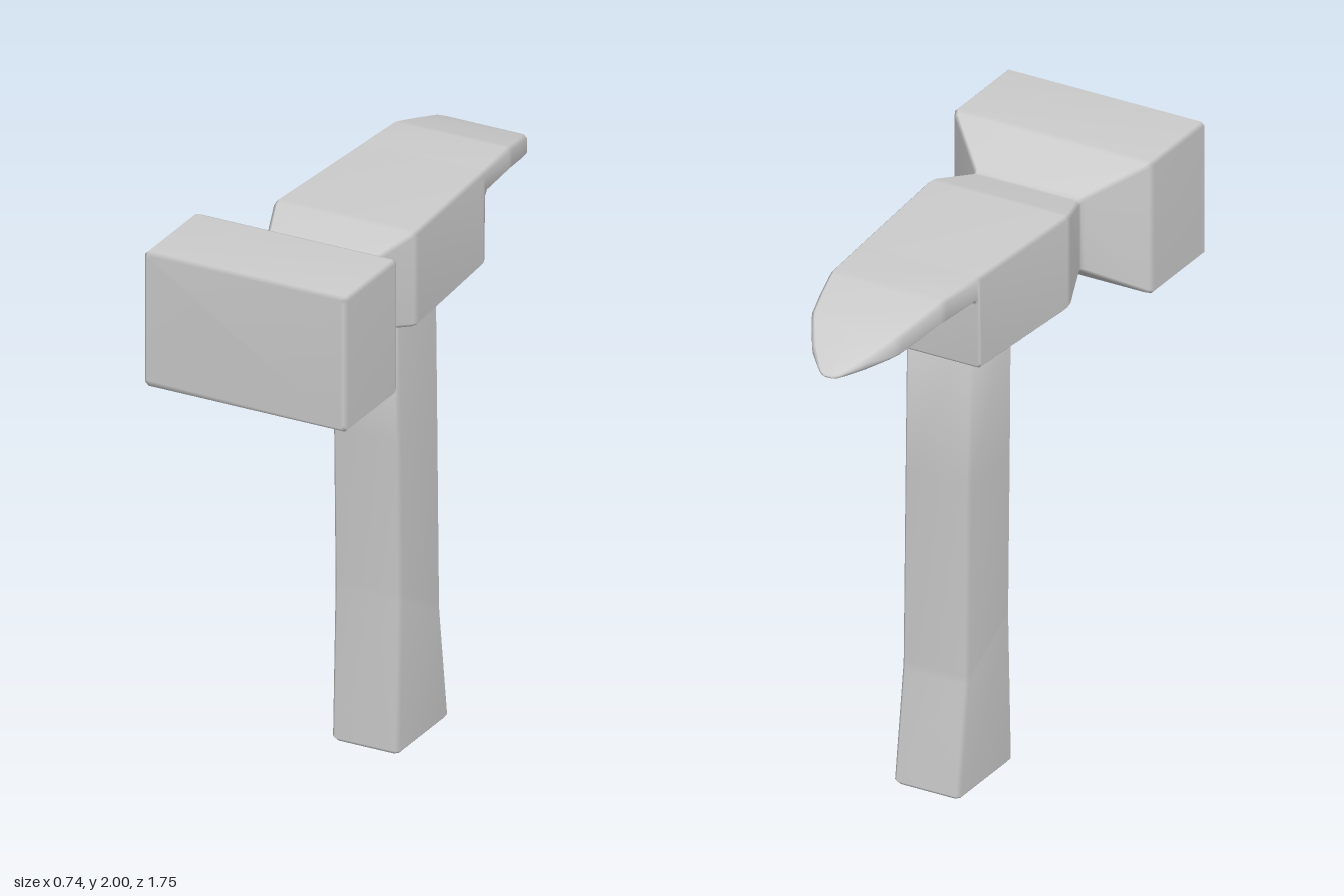
import * as THREE from 'three';

const material = new THREE.MeshStandardMaterial({ color: 0xcccccc, side: THREE.DoubleSide });

// Eight-point rectangle with softened corners, counter-clockwise
function section(hw, lo, hi) {
  const c = Math.min(0.012, hw / 3, (hi - lo) / 3);
  return [
    [hw - c, lo], [hw, lo + c], [hw, hi - c], [hw - c, hi],
    [c - hw, hi], [-hw, hi - c], [-hw, lo + c], [c - hw, lo],
  ];
}

// Loft [w, halfWidth, low, high, wAtHigh] sections with descending w, capped at both ends
function loft(name, rows) {
  const pos = [], index = [], n = 8;
  for (const [w, hw, lo, hi, w2 = w] of rows) {
    for (const [u, v] of section(hw, lo, hi)) {
      pos.push(u, v, w + (w2 - w) * (v - lo) / (hi - lo));
    }
  }
  for (let r = 0; r < rows.length - 1; r++) {
    for (let i = 0; i < n; i++) {
      const a = r * n + i, b = r * n + (i + 1) % n;
      index.push(a, a + n, b, b, a + n, b + n);
    }
  }
  const last = (rows.length - 1) * n;
  for (let i = 1; i < n - 1; i++) {
    index.push(0, i, i + 1, last, last + i + 1, last + i);
  }
  const geometry = new THREE.BufferGeometry();
  geometry.setAttribute('position', new THREE.Float32BufferAttribute(pos, 3));
  geometry.setIndex(index);
  geometry.computeVertexNormals();
  const mesh = new THREE.Mesh(geometry, material);
  mesh.name = name;
  return mesh;
}

export function createModel() {
  const group = new THREE.Group();
  group.name = 'hammer';

  // Head: striking block, neck, cheek and curved claw, from front to back
  group.add(loft('head', [
    [0.875, 0.357, 1.537, 1.988],
    [0.863, 0.369, 1.525, 2.0],
    [0.55, 0.369, 1.525, 2.0],
    [0.53, 0.36, 1.533, 1.992],
    [0.39, 0.207, 1.63, 1.9],
    [0.375, 0.198, 1.637, 1.892],
    [0.36, 0.2, 1.637, 1.893],
    [0.215, 0.254, 1.6, 1.927],
    [0.19, 0.257, 1.595, 1.93],
    [-0.293, 0.227, 1.595, 1.926],
    [-0.305, 0.226, 1.607, 1.926],
    [-0.306, 0.226, 1.825, 1.926],
    [-0.322, 0.225, 1.843, 1.926],
    [-0.49, 0.213, 1.843, 1.926],
    [-0.52, 0.208, 1.839, 1.92],
    [-0.6, 0.191, 1.823, 1.901],
    [-0.69, 0.168, 1.804, 1.879],
    [-0.72, 0.153, 1.797, 1.865],
    [-0.8, 0.102, 1.78, 1.82],
    [-0.85, 0.053, 1.768, 1.786],
    [-0.868, 0.033, 1.764, 1.774],
    [-0.875, 0.015, 1.762, 1.767],
  ]));

  // Handle: lofted along the vertical, with a slanted break above the flared grip
  const handle = loft('handle', [
    [1.65, 0.12, -0.08, 0.185],
    [1.1, 0.122, -0.07, 0.192],
    [0.56, 0.122, -0.06, 0.204, 0.42],
    [0.54, 0.122, -0.06, 0.206, 0.39],
    [0.012, 0.122, -0.077, 0.258],
    [0, 0.112, -0.068, 0.248],
  ]);
  handle.rotation.x = -Math.PI / 2;
  group.add(handle);

  return group;
}
